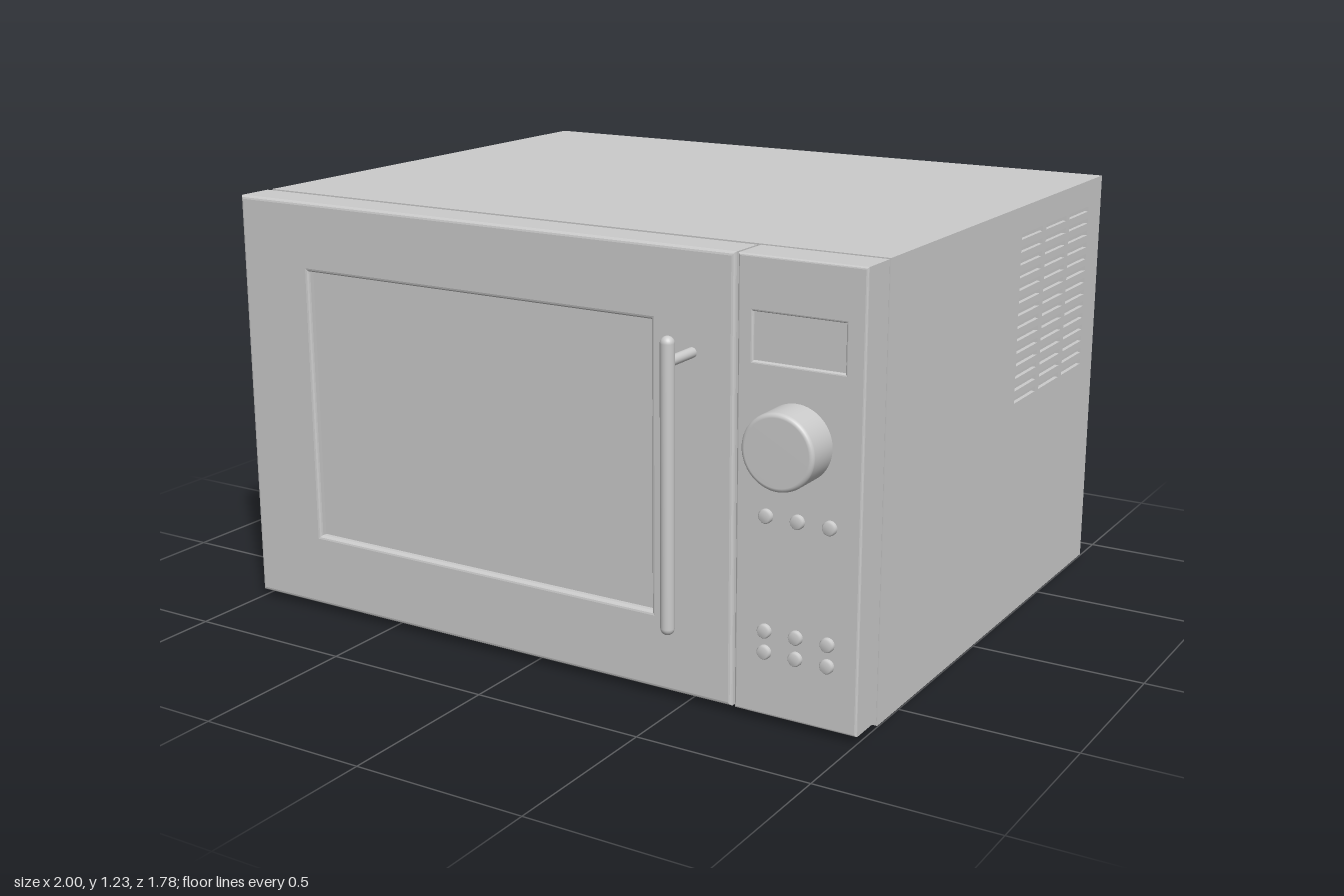
import * as THREE from 'three';
import { RoundedBoxGeometry } from 'three/addons/geometries/RoundedBoxGeometry.js';

const material = new THREE.MeshStandardMaterial({ color: 0xcccccc });

function rect(x0, x1, y0, y1, Type = THREE.Shape) {
  return new Type([[x0, y0], [x1, y0], [x1, y1], [x0, y1]].map(p => new THREE.Vector2(...p)));
}

export function createModel() {
  const model = new THREE.Group();

  const add = (name, geometry, parent = model) => {
    const mesh = new THREE.Mesh(geometry, material);
    mesh.name = name;
    parent.add(mesh);
    return mesh;
  };
  // Box given by its limits on each axis
  const box = (name, x0, x1, y0, y1, z0, z1, parent) =>
    add(name, new THREE.BoxGeometry(x1 - x0, y1 - y0, z1 - z0), parent)
      .position.set((x0 + x1) / 2, (y0 + y1) / 2, (z0 + z1) / 2);
  // Slab facing +z with softened edges around its outline and holes
  const slab = (name, shape, z0, z1, bevel, parent) => {
    const g = new THREE.ExtrudeGeometry(shape, {
      depth: z1 - z0 - 2 * bevel, bevelEnabled: true, bevelSize: bevel,
      bevelThickness: bevel, bevelOffset: -bevel, bevelSegments: 3,
    });
    add(name, g.translate(0, 0, z0 + bevel), parent);
  };
  // Round part turned around the z axis; profile points are [radius, z]
  const turned = (name, profile, x, y, parent, segments = 48) => {
    const g = new THREE.LatheGeometry(profile.map(p => new THREE.Vector2(...p)), segments);
    add(name, g.rotateX(Math.PI / 2), parent).position.set(x, y, 0);
  };

  // Cabinet: hollow shell with louvred sides and an inner cooking cavity
  const cabinet = new THREE.Group();
  cabinet.name = 'cabinet';
  model.add(cabinet);
  const W = 0.997, H = 1.23, BACK = -0.89, FRONT = 0.622, T = 0.012;
  const inner = W - T;

  const side = rect(BACK, FRONT, 0, H);
  for (const z of [-0.24, -0.43, -0.62]) {
    for (let row = 0; row < 14; row++) {
      const y = 0.667 + row * 0.0366;
      side.holes.push(rect(z - 0.163, z, y - 0.008, y + 0.008, THREE.Path));
    }
  }
  for (const [name, x] of [['leftSide', W], ['rightSide', -inner]]) {
    const g = new THREE.ExtrudeGeometry(side, { depth: T, bevelEnabled: false });
    add(name, g.rotateY(-Math.PI / 2).translate(x, 0, 0), cabinet);
  }
  box('topPanel', -inner, inner, H - T, H, BACK, FRONT, cabinet);
  box('basePanel', -inner, inner, 0, T, BACK, FRONT, cabinet);
  box('backPanel', -inner, inner, T, H - T, BACK, BACK + T, cabinet);
  box('frontBulkhead', -inner, inner, T, H - T, FRONT - T, FRONT, cabinet);
  box('cookingCavity', -0.88, 0.52, 0.13, 1.087, -0.575, FRONT - T, cabinet);
  box('doorSeal', -0.96, 0.96, 0.05, 1.2, FRONT - T, 0.64, cabinet);

  // Door: softened frame with a recessed window
  const door = new THREE.Group();
  door.name = 'door';
  model.add(door);
  const frame = rect(-1, 0.637, 0.02, H);
  frame.holes.push(rect(-0.757, 0.392, 0.236, 1.03, THREE.Path));
  slab('doorFrame', frame, 0.63, 0.753, 0.01, door);
  box('window', -0.8, 0.43, 0.2, 1.07, 0.65, 0.73, door);

  // Handle: upright round bar on a single post
  const bar = add('handleBar', new THREE.CapsuleGeometry(0.019, 0.752, 6, 24), door);
  bar.position.set(0.515, 0.633, 0.872);
  turned('handlePost', [[0.014, 0.74], [0.014, 0.872]], 0.515, 0.96, door, 24);

  // Control panel with sunken display
  const controls = new THREE.Group();
  controls.name = 'controlPanel';
  model.add(controls);
  const plate = rect(0.646, 1, 0.02, H);
  plate.holes.push(rect(0.69, 0.945, 0.962, 1.087, THREE.Path));
  slab('panelPlate', plate, 0.63, 0.753, 0.006, controls);
  const display = add('display', new RoundedBoxGeometry(0.27, 0.14, 0.09, 2, 0.004), controls);
  display.position.set(0.8175, 1.0245, 0.698);

  // Knob with a rounded rim
  const knob = [[0.101, 0.745], [0.101, 0.845]];
  for (let i = 1; i <= 4; i++) {
    const a = (i / 4) * Math.PI / 2;
    knob.push([0.089 + 0.012 * Math.cos(a), 0.845 + 0.012 * Math.sin(a)]);
  }
  knob.push([0, 0.857]);
  turned('knob', knob, 0.815, 0.768, controls, 64);

  // Push buttons
  for (const y of [0.565, 0.255, 0.197]) {
    for (const x of [0.735, 0.825, 0.915]) {
      turned('button', [[0.019, 0.745], [0.019, 0.763], [0.015, 0.768], [0, 0.768]], x, y, controls, 24);
    }
  }
  return model;
}
